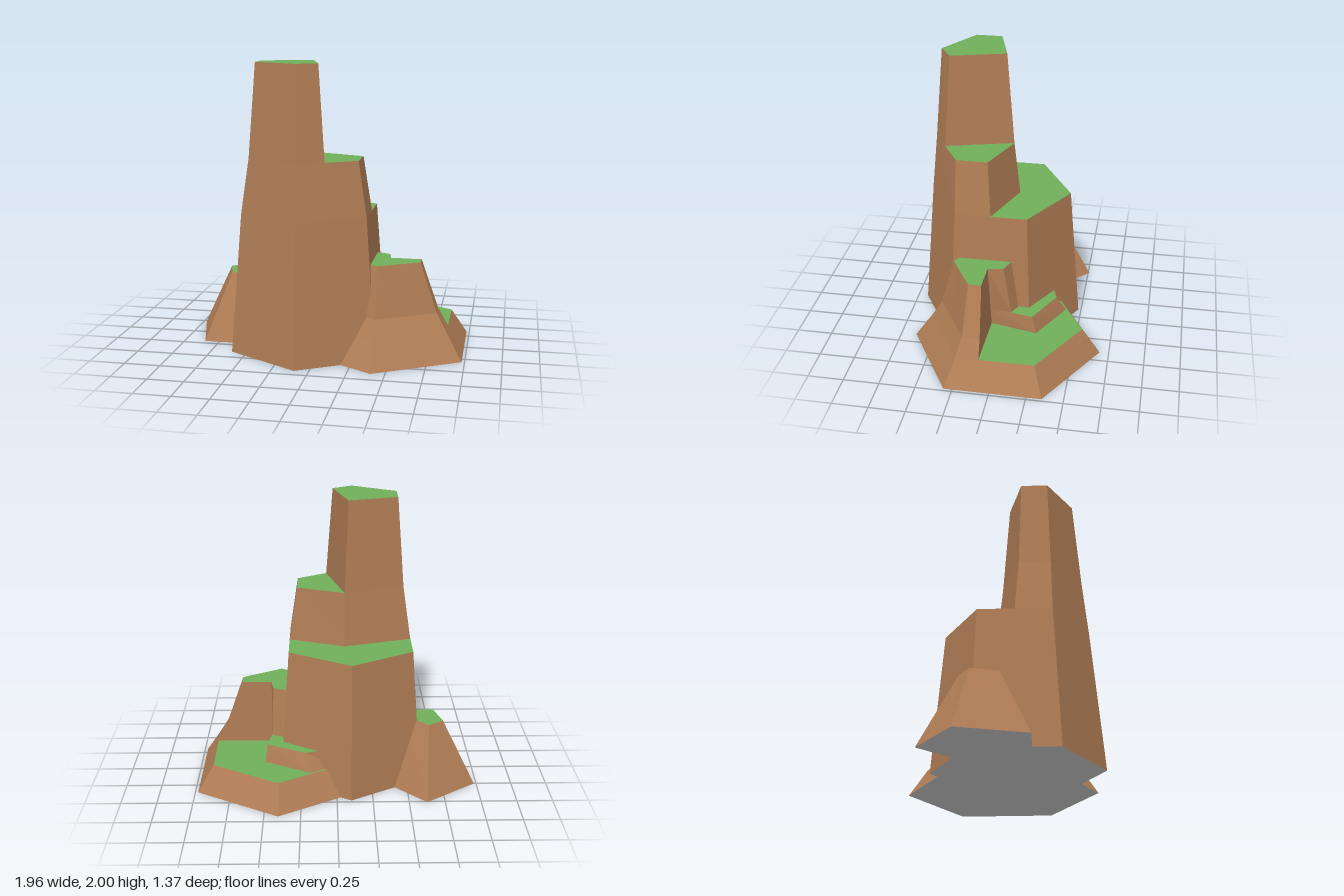
import * as THREE from 'three';

const rock = new THREE.MeshStandardMaterial({ color: 0xb07d55, flatShading: true });
const grass = new THREE.MeshStandardMaterial({ color: 0x70b05a, flatShading: true });
const under = new THREE.MeshStandardMaterial({ color: 0xcccccc, flatShading: true });

// Six-sided outline with corners pointing to front and back, as [x, z] points
const hexagon = (cx, cz, r) => Array.from({ length: 6 }, (_, i) => {
  const a = (i * Math.PI) / 3;
  return [cx + r * Math.sin(a), cz + r * Math.cos(a)];
});

// Flat cap facing up or down
function cap(points, y, up) {
  const s = up ? -1 : 1;
  const shape = new THREE.Shape(points.map(([x, z]) => new THREE.Vector2(x, s * z)));
  return new THREE.ShapeGeometry(shape).rotateX((s * Math.PI) / 2).translate(0, y, 0);
}

// Faceted walls joining outlines [y, points] from bottom to top
function walls(levels) {
  const pos = [];
  const clockwise = THREE.ShapeUtils.area(levels[0][1].map(([x, y]) => ({ x, y }))) < 0;
  for (let k = 0; k + 1 < levels.length; k++) {
    const [y0, low] = levels[k];
    const [y1, high] = levels[k + 1];
    low.forEach((_, n) => {
      const next = (n + 1) % low.length;
      const [i, j] = clockwise ? [next, n] : [n, next];
      const a = [low[i][0], y0, low[i][1]], b = [low[j][0], y0, low[j][1]];
      const c = [high[j][0], y1, high[j][1]], d = [high[i][0], y1, high[i][1]];
      pos.push(...a, ...d, ...c, ...a, ...c, ...b);
    });
  }
  const g = new THREE.BufferGeometry();
  g.setAttribute('position', new THREE.Float32BufferAttribute(pos, 3));
  g.computeVertexNormals();
  return g;
}

// One rock tier: walls, grass on top, and an underside where it meets the ground
function tier(name, levels) {
  const group = new THREE.Group();
  group.name = name;
  const add = (part, geometry, material) => {
    const mesh = new THREE.Mesh(geometry, material);
    mesh.name = part;
    group.add(mesh);
  };
  const [topY, topPoints] = levels[levels.length - 1];
  add(name + 'Walls', walls(levels), rock);
  add(name + 'Grass', cap(topPoints, topY, true), grass);
  if (levels[0][0] === 0) add(name + 'Underside', cap(levels[0][1], 0, false), under);
  return group;
}

export function createModel() {
  const model = new THREE.Group();
  model.name = 'rockFormation';

  // Tall central column, stepping up in three tiers
  model.add(tier('columnBase', [
    [0, hexagon(-0.1, 0.1, 0.58)],
    [0.98, hexagon(-0.1, 0.1, 0.498)],
  ]));
  model.add(tier('columnShoulder', [
    [0.98, [[-0.53, 0.1], [-0.058, -0.042], [0.331, 0.1], [0.331, 0.349], [-0.1, 0.598], [-0.531, 0.349]]],
    [1.36, [[-0.475, 0.127], [-0.058, 0], [0.274, 0.126], [0.274, 0.343], [-0.1, 0.56], [-0.475, 0.343]]],
  ]));
  model.add(tier('columnPeak', [
    [1.36, [[-0.475, 0.127], [-0.058, 0], [0.068, 0.462], [-0.1, 0.56], [-0.475, 0.343]]],
    [2, [[-0.426, 0.147], [-0.084, 0.053], [0.02, 0.425], [-0.116, 0.508], [-0.426, 0.33]]],
  ]));

  // Wide hill beside the column
  model.add(tier('hillBase', [
    [0, hexagon(0.405, -0.022, 0.664)],
    [0.183, hexagon(0.405, -0.02, 0.537)],
  ]));
  model.add(tier('hillBackStep', [
    [0.183, [[0.18, -0.416], [0.505, -0.247], [0.437, 0.08], [0.1, 0.1], [0, -0.3]]],
    [0.305, [[0.22, -0.35], [0.49, -0.215], [0.437, 0.09], [0.1, 0.1], [0, -0.28]]],
  ]));
  model.add(tier('hillFrontStep', [
    [0.183, [[0.405, 0.517], [0.87, 0.248], [0.87, 0.09], [0.437, 0.08], [0.468, -0.08], [0.37, -0.13], [0, -0.1], [-0.06, 0.248]]],
    [0.305, [[0.405, 0.44], [0.8, 0.212], [0.8, 0.092], [0.442, 0.085], [0.46, -0.063], [0.37, -0.105], [0, -0.1], [0.01, 0.212]]],
    [0.65, [[0.405, 0.347], [0.68, 0.19], [0.68, 0.1], [0.468, 0.097], [0.45, -0.01], [0.36, -0.045], [0, -0.1], [0.13, 0.19]]],
  ]));

  // Small five-sided rock on the other side
  model.add(tier('smallRock', [
    [0, [[-0.626, -0.51], [-0.984, -0.253], [-0.853, 0.205], [-0.4, 0.205], [-0.3, -0.19]]],
    [0.465, [[-0.647, -0.247], [-0.753, -0.174], [-0.7, 0.01], [-0.46, 0.01], [-0.5, -0.11]]],
  ]));

  return model;
}
